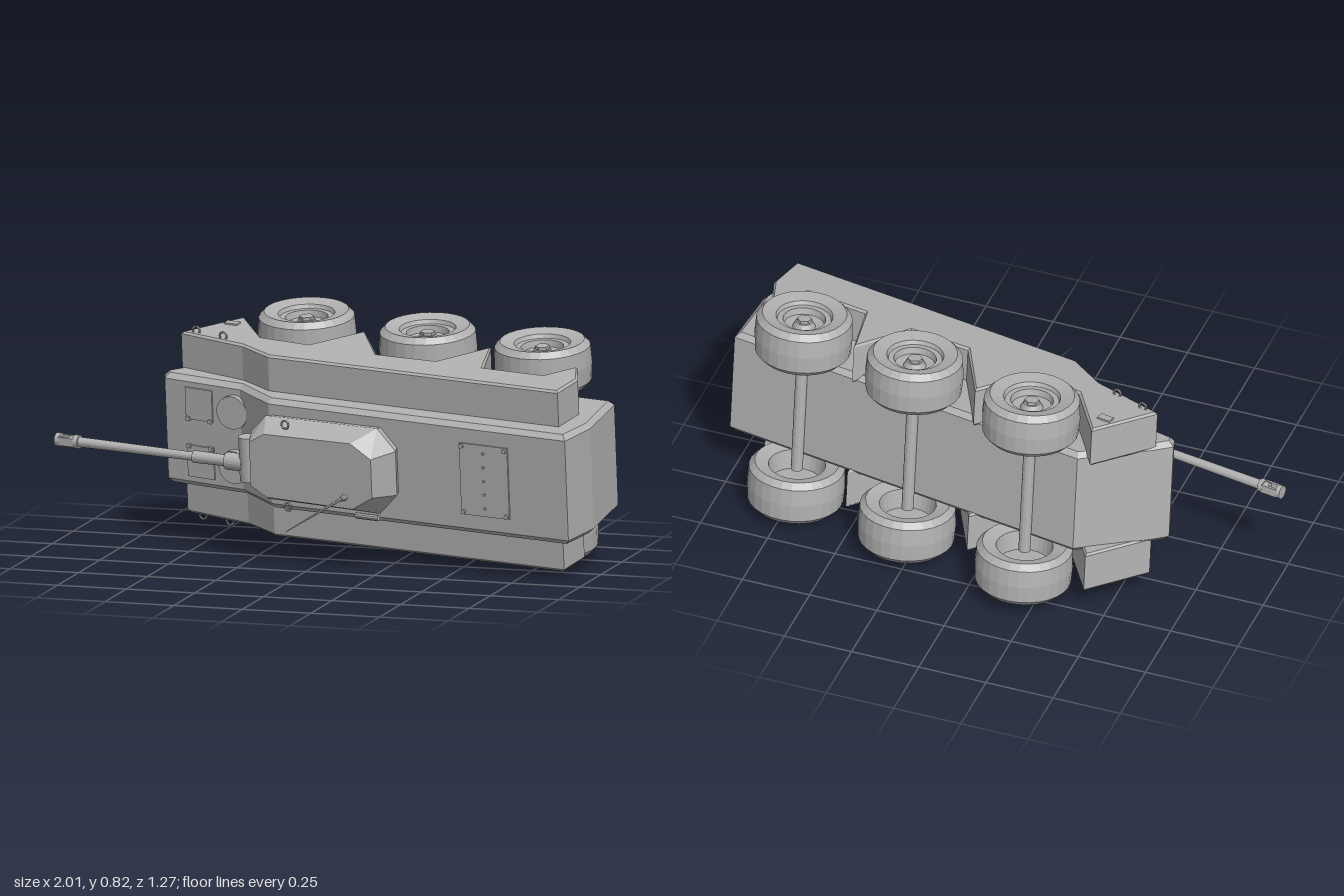
import * as THREE from 'three';
import { ConvexGeometry } from 'three/addons/geometries/ConvexGeometry.js';

const grey = new THREE.MeshStandardMaterial({ color: 0xb0b0b0, flatShading: true });

// Vehicle axes: x = rearward, y = sideways, z = vehicle up
const vehicle = () => {
  const back = new THREE.Vector3(0.98, -0.025, 0.194).normalize();
  const side = new THREE.Vector3(0, 0.992, 0.125);
  const up = back.clone().cross(side).normalize();
  side.crossVectors(up, back);
  const g = new THREE.Group();
  g.name = 'vehicle';
  g.quaternion.setFromRotationMatrix(new THREE.Matrix4().makeBasis(back, side, up));
  g.position.set(0, 0.377, 0);
  return g;
};

export function createModel() {
  const root = new THREE.Group();
  const body = vehicle();
  root.add(body);

  const add = (name, geo, x = 0, y = 0, z = 0) => {
    const m = new THREE.Mesh(geo, grey);
    m.name = name;
    m.position.set(x, y, z);
    body.add(m);
    return m;
  };
  // Side profile in (x, z), given width across y, with bevelled edges
  const slab = (pts, width, bevel) => {
    const shape = new THREE.Shape(pts.map(p => new THREE.Vector2(p[0], p[1])));
    const geo = new THREE.ExtrudeGeometry(shape, {
      depth: width - 2 * bevel, bevelEnabled: true, bevelSegments: 1,
      bevelSize: bevel, bevelThickness: bevel, bevelOffset: -bevel,
    });
    geo.translate(0, 0, bevel - width / 2);
    return geo.rotateX(Math.PI / 2);
  };
  // Cylinders along each axis
  const rodX = (r0, r1, len, n = 16) => new THREE.CylinderGeometry(r1, r0, len, n).rotateZ(Math.PI / 2);
  const rodY = (r, len, n = 16) => new THREE.CylinderGeometry(r, r, len, n);
  const rodZ = (r0, r1, len, n = 16) => new THREE.CylinderGeometry(r1, r0, len, n).rotateX(Math.PI / 2);

  // Hull
  add('hull', slab([
    [0.944, -0.378], [0.997, -0.1], [0.983, 0.062], [-0.19, 0.062], [-0.36, -0.045],
    [-0.67, -0.07], [-0.69, -0.11], [-0.645, -0.17], [-0.46, -0.376],
  ], 0.4, 0.018));

  // Side sponsons with wheel arches
  const sponson = [
    [-0.52, -0.39], [-0.352, -0.203], [-0.159, -0.191], [-0.048, -0.4], [0.118, -0.178],
    [0.345, -0.186], [0.451, -0.397], [0.539, -0.178], [0.774, -0.18], [0.841, -0.309],
    [0.908, -0.186], [0.912, -0.028], [-0.23, -0.022], [-0.375, -0.1], [-0.645, -0.155],
  ];
  for (const s of [1, -1]) {
    add('sponson', slab(sponson, 0.15, 0.008), 0, s * 0.255, 0);
    add('headlightPlate', new THREE.BoxGeometry(0.05, 0.008, 0.03), -0.52, s * 0.332, -0.3);
    // Lifting rings and nose hatches
    for (const [x, z] of [[-0.59, -0.165], [-0.47, -0.14]])
      add('liftingRing', new THREE.TorusGeometry(0.014, 0.004, 6, 12), x, s * 0.338, z);
    const hatch = add('noseHatch', new THREE.BoxGeometry(0.11, 0.115, 0.008), -0.53, s * 0.105, -0.057);
    hatch.rotation.y = -0.08;
    for (const dx of [-0.045, 0.045])
      add('hatchHinge', new THREE.BoxGeometry(0.014, 0.014, 0.012), -0.53 + dx, s * 0.05, -0.051 + dx * 0.08);
    add('driverHatch', rodZ(0.06, 0.06, 0.06, 24), -0.385, s * 0.1, -0.055);
    add('turretRing', new THREE.TorusGeometry(0.014, 0.004, 6, 12), -0.07, s * 0.15, 0.165);
  }

  // Wheels: one lathe profile, flipped for the other side
  const wheel = new THREE.LatheGeometry([
    [0, 0], [0.09, 0], [0.1, -0.07], [0.148, -0.083], [0.168, -0.062], [0.172, 0], [0.168, 0.062],
    [0.148, 0.083], [0.1, 0.072], [0.094, 0.058], [0.075, 0.058], [0.07, 0.035],
    [0.04, 0.03], [0.03, 0.05], [0, 0.05],
  ].map(p => new THREE.Vector2(p[0], p[1])), 28);
  for (const x of [-0.271, 0.208, 0.662]) {
    add('axle', rodY(0.021, 0.5, 12), x, 0, -0.386);
    for (const s of [1, -1]) {
      const w = add('wheel', wheel, x, s * 0.302, -0.386);
      if (s < 0) w.rotation.x = Math.PI;
      add('hubCap', rodY(0.026, 0.03, 6), x, s * 0.348, -0.386);
    }
  }

  // Turret
  const ring = (pts, z) => pts.flatMap(([x, y]) => [1, -1].map(s => new THREE.Vector3(x, s * y, z)));
  add('turret', new ConvexGeometry([
    ...ring([[-0.22, 0.09], [-0.17, 0.14], [0.25, 0.145], [0.31, 0.08]], 0.05),
    ...ring([[-0.24, 0.09], [-0.18, 0.152], [0.26, 0.156], [0.33, 0.08]], 0.1),
    ...ring([[-0.2, 0.08], [-0.14, 0.115], [0.2, 0.12], [0.28, 0.07]], 0.192),
  ]));
  add('mantlet', rodY(0.034, 0.16, 20), -0.235, 0, 0.135);
  add('turretSight', rodX(0.011, 0.011, 0.09, 10), 0.225, -0.162, 0.13);

  // Gun with slotted muzzle
  const gy = -0.018, gz = 0.138;
  add('gunSleeve', rodX(0.031, 0.031, 0.07, 20), -0.285, gy, gz);
  add('gunRearBarrel', rodX(0.022, 0.02, 0.14), -0.38, gy, gz).rotation.z = Math.PI;
  add('gunBarrel', rodX(0.015, 0.018, 0.52), -0.68, gy, gz);
  for (const x of [-0.984, -0.912]) add('muzzleRing', rodX(0.024, 0.024, 0.018), x, gy, gz);
  for (const s of [1, -1])
    add('muzzleBar', new THREE.BoxGeometry(0.06, 0.03, 0.01), -0.948, gy, gz + s * 0.017);

  // Antenna
  add('antennaBase', rodZ(0.012, 0.008, 0.03, 10), 0.17, -0.08, 0.203);
  add('antenna', rodZ(0.006, 0.0015, 0.42, 8), 0.168, -0.08, 0.41);

  // Engine deck panel and its bolts
  add('enginePanel', new THREE.BoxGeometry(0.19, 0.26, 0.008), 0.66, 0, 0.064);
  for (let i = 0; i < 5; i++)
    add('panelBolt', rodZ(0.005, 0.005, 0.008, 6), 0.66, -0.1 + i * 0.05, 0.071);
  for (const x of [0.575, 0.745]) for (const y of [-0.12, 0.12])
    add('panelCornerBolt', rodZ(0.008, 0.008, 0.014, 8), x, y, 0.07);

  return root;
}
